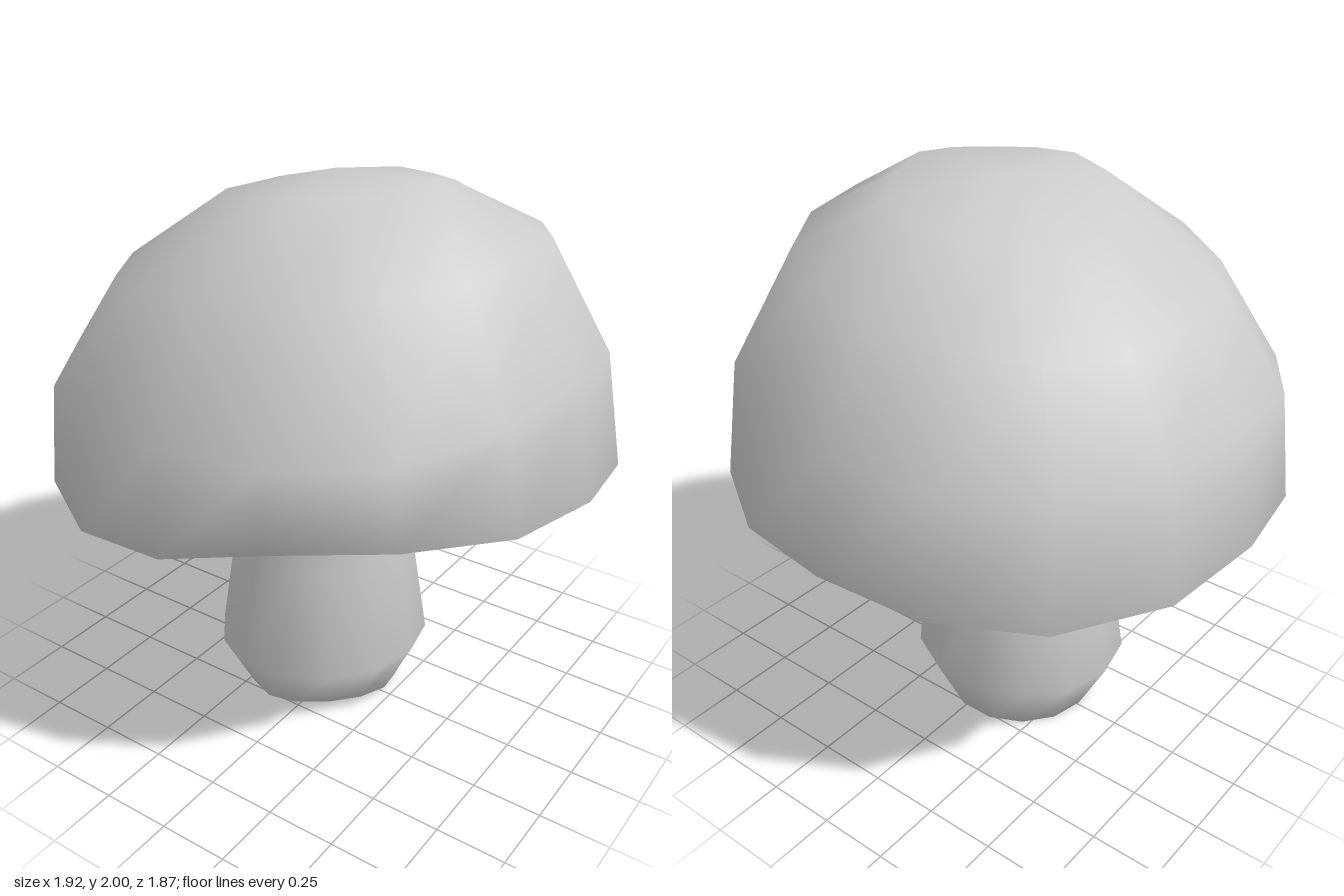
import * as THREE from 'three';

// Closed smooth skin over rings of points, bottom to top, with a centre point at each end
function loft(name, bottom, rings, top) {
  const n = rings[0].length;
  const points = [bottom, ...rings.flat(), top];
  const last = points.length - 1;
  const at = (r, k) => 1 + r * n + (k % n);
  const index = [];
  for (let k = 0; k < n; k++) {
    index.push(0, at(0, k), at(0, k + 1));
    for (let r = 0; r < rings.length - 1; r++) {
      const a = at(r, k), b = at(r, k + 1), c = at(r + 1, k), d = at(r + 1, k + 1);
      index.push(a, c, b, b, c, d);
    }
    index.push(last, at(rings.length - 1, k + 1), at(rings.length - 1, k));
  }
  const geometry = new THREE.BufferGeometry();
  geometry.setAttribute('position', new THREE.Float32BufferAttribute(points.flat(), 3));
  geometry.setIndex(index);
  geometry.computeVertexNormals();
  const mesh = new THREE.Mesh(geometry, new THREE.MeshStandardMaterial({ color: 0xcccccc }));
  mesh.name = name;
  return mesh;
}

// Ring of n points; shape(cos, sin, number) gives [radius, height]
function ring(n, cx, cz, shape) {
  return Array.from({ length: n }, (_, k) => {
    const c = Math.cos((k / n) * Math.PI * 2), s = Math.sin((k / n) * Math.PI * 2);
    const [radius, y] = shape(c, s, k);
    return [cx + radius * c, y, cz + radius * s];
  });
}

export function createModel() {
  const group = new THREE.Group();
  group.name = 'mushroom';

  // Cap: wavy rim, raised at the front left, under a lopsided dome
  const rimHeights = [1.08, 1.11, 1.15, 1.12, 1.01, 0.96, 0.95, 0.97,
    0.99, 0.96, 0.94, 0.95, 0.98, 0.98, 0.98, 1.03];
  const rimRadii = [0.96, 0.97, 0.975, 0.94, 0.93, 0.96, 0.98, 0.967,
    0.96, 0.985, 0.985, 0.957, 0.94, 0.96, 0.975, 0.975];
  const crownHeights = [2.0, 1.99, 1.98, 1.98, 1.98, 1.955, 1.92, 1.9,
    1.88, 1.88, 1.88, 1.89, 1.915, 1.92, 1.935, 1.97];
  const sides = rimHeights.length;
  // How far a direction lies toward a diagonal, 0 to 1
  const diagonal = (c, s) => (2 * c * s) ** 2;
  group.add(loft('cap', [0, 1.03, 0], [
    ring(sides, 0, 0, (c, s, k) => [0.86 * rimRadii[k], 0.8 * rimHeights[k] + 0.215]),
    ring(sides, 0, 0, (c, s, k) => [rimRadii[k], rimHeights[k]]),
    ring(sides, 0, 0.02, (c, s) => [0.895 + 0.035 * diagonal(c, s),
      1.37 + 0.11 * Math.max(0, c) - 0.06 * diagonal(c, s)]),
    ring(sides, 0, 0.01, (c, s) => [0.69 + 0.015 * diagonal(c, s),
      1.745 + 0.085 * c + 0.015 * s - 0.02 * diagonal(c, s)]),
    ring(sides, 0.01, 0, (c, s, k) => [0.37, crownHeights[k]]),
  ], [0, 1.985, 0]));

  // Stem: leaning, swollen low down, its foot lifted at the front left
  const foot = (c, s) => 0.005 + 0.03 * Math.max(0, c + s) ** 2;
  const stemRings = [
    // height, centre x, radius
    [0.235, -0.05, 0.39],
    [0.63, -0.05, 0.33],
    [0.98, 0, 0.28],
    [1.16, 0.01, 0.26],
  ].map(([y, cx, r]) => ring(14, cx, 0.01, (c) => [r, y + 0.02 * c]));
  group.add(loft('stem', [-0.05, 0.03, 0.01], [
    ring(14, -0.05, 0.01, (c, s) => [0.22, foot(c, s) + 0.005]),
    ring(14, -0.05, 0.01, (c, s) => [0.28, foot(c, s)]),
    ...stemRings,
  ], [0.01, 1.18, 0.01]));

  return group;
}
